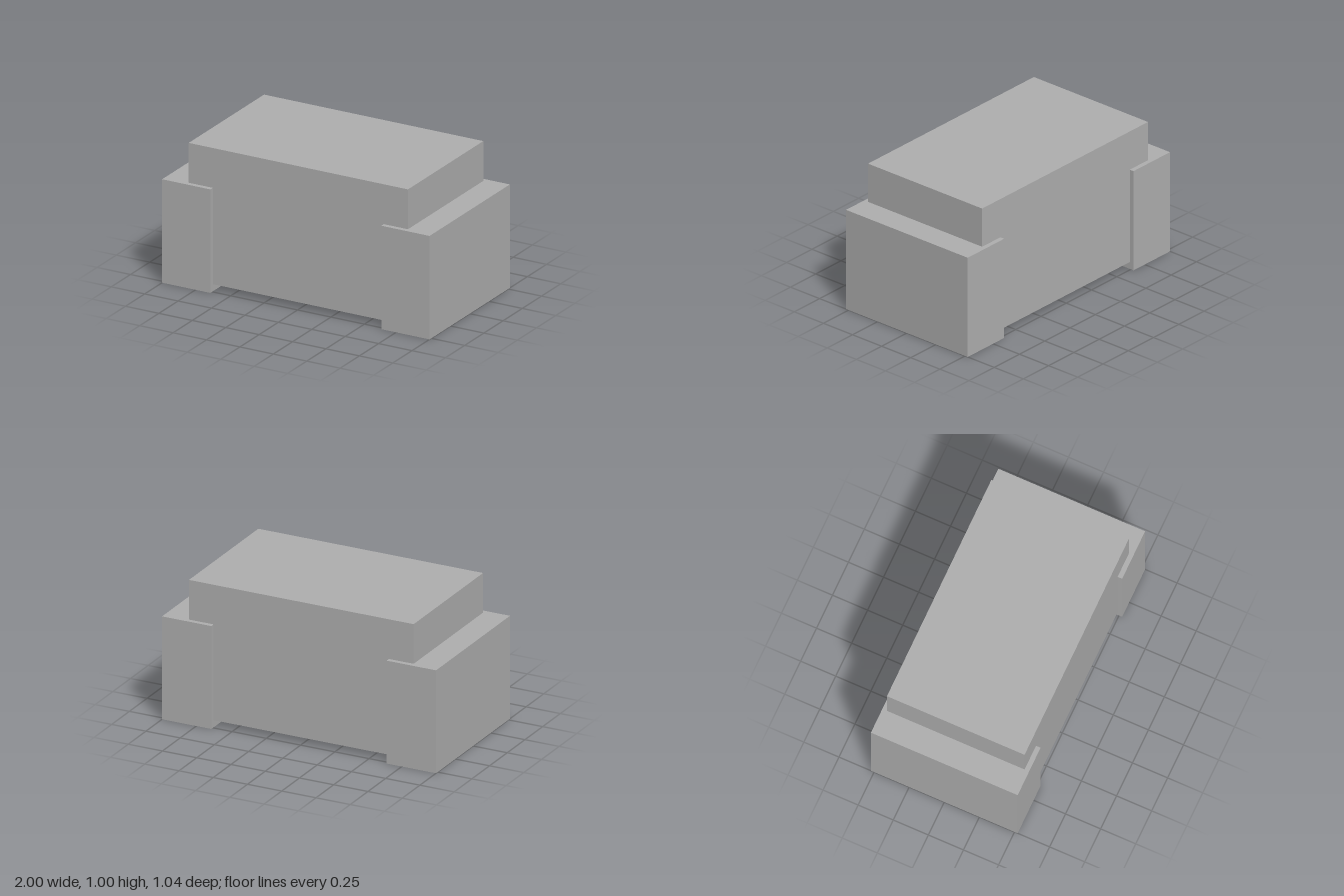
import * as THREE from 'three';

export function createModel() {
  const group = new THREE.Group();
  group.name = 'chipComponent';

  const grey = new THREE.MeshStandardMaterial({ color: 0xb0b0b0 });
  grey.name = 'grey';

  // Box given by its size, bottom height and x centre
  const addBox = (name, width, height, depth, x, bottom) => {
    const mesh = new THREE.Mesh(new THREE.BoxGeometry(width, height, depth), grey);
    mesh.name = name;
    mesh.position.set(x, bottom + height / 2, 0);
    group.add(mesh);
  };

  // Main block, raised slightly off the ground
  addBox('body', 1.64, 0.95, 0.98, 0, 0.05);

  // End terminals wrapping the lower part of the body
  for (const [name, side] of [['leftTerminal', 1], ['rightTerminal', -1]]) {
    addBox(name, 0.36, 0.722, 1.045, side * 0.82, 0);
  }

  return group;
}
